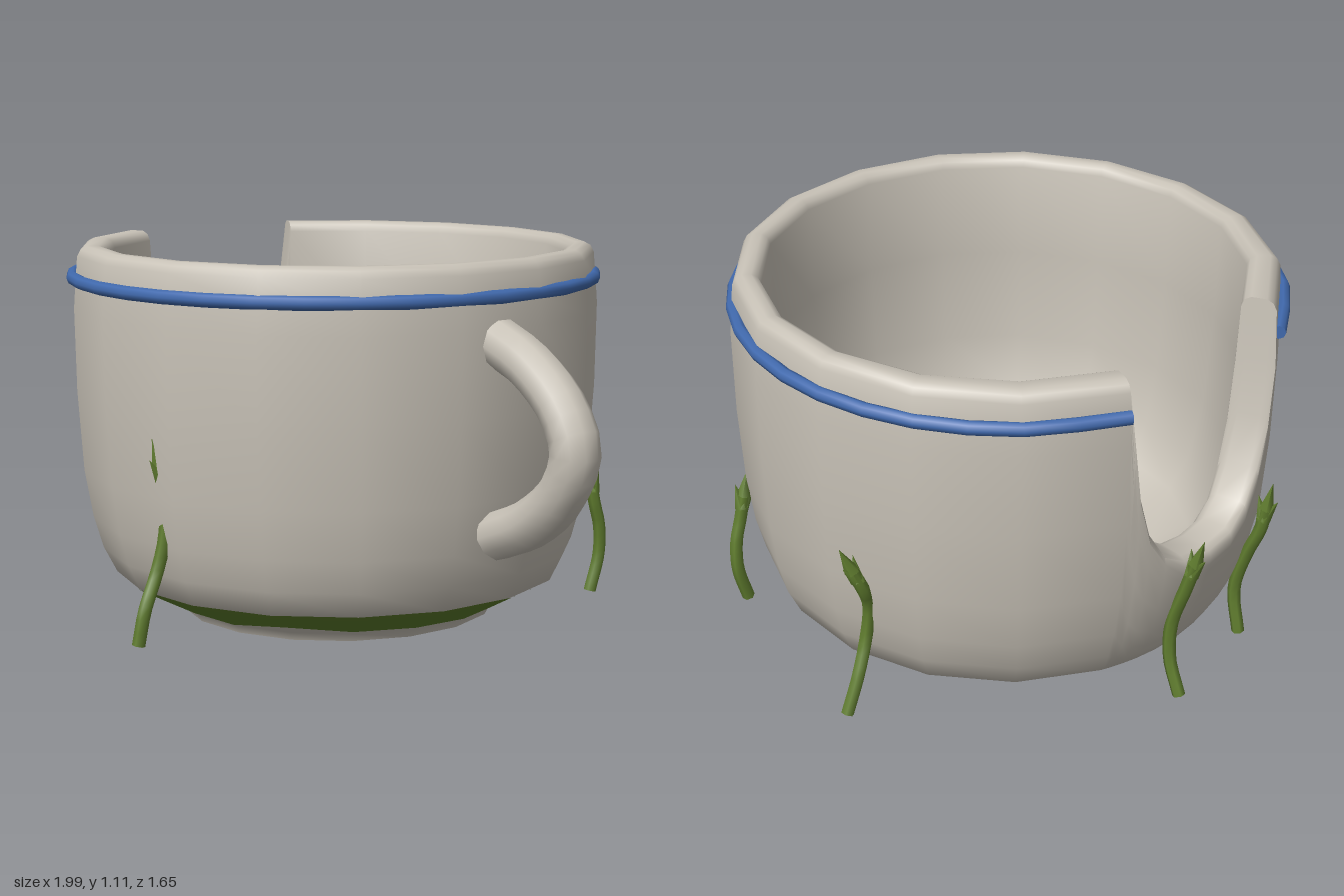
import * as THREE from 'three';
import { toCreasedNormals, mergeVertices } from 'three/addons/utils/BufferGeometryUtils.js';

const CX = -0.14;      // cup axis
const RIM = 1.115;     // rim height
const NOTCH = 0.405;   // half angle of the broken gap, measured from -x

const mat = (name, color) => {
  const m = new THREE.MeshStandardMaterial({ color });
  m.name = name;
  return m;
};

function add(group, name, geometry, material) {
  const mesh = new THREE.Mesh(geometry, material);
  mesh.name = name;
  group.add(mesh);
  return mesh;
}

// Linear interpolation in a table of [key, value] pairs
function lerpTable(table, k) {
  for (let i = 1; i < table.length; i++) {
    const [k0, v0] = table[i - 1], [k1, v1] = table[i];
    if (k <= k1) return v0 + (v1 - v0) * Math.max(0, (k - k0) / (k1 - k0));
  }
  return table[table.length - 1][1];
}

const outerTable = [[0.03, 0.49], [0.13, 0.68], [0.2, 0.715], [0.3, 0.742], [0.45, 0.764],
  [0.7, 0.78], [0.95, 0.783], [1.02, 0.776], [1.115, 0.768]];
const innerTable = [[0.12, 0.3], [0.15, 0.46], [0.2, 0.56], [0.3, 0.625], [0.5, 0.665],
  [0.8, 0.685], [1.115, 0.69]];
const notchTable = [[0, 0.485], [0.13, 0.495], [0.23, 0.54], [0.305, 0.63], [0.355, 0.77], [0.385, 0.95], [NOTCH, RIM]];
const innerR = (y) => lerpTable(innerTable, y);
// The wall bulges a little around the gap
const bulge = (a) => 0.02 * Math.max(0, Math.cos(a));
const outerR = (y, a) => lerpTable(outerTable, y) + bulge(a) * Math.min(1, Math.max(0, (y - 0.13) / 0.3));

// Column angles: dense in the notch, sixteen-odd facets elsewhere
function columnAngles() {
  const half = notchTable.map((p) => p[0]);
  const list = [...half.slice(1).reverse().map((a) => -a), ...half];
  const steps = 15, span = 2 * Math.PI - 2 * NOTCH;
  for (let i = 1; i < steps; i++) list.push(NOTCH + (span * i) / steps);
  return list;
}

// Surface around the cup axis; rows(angle) gives [radius, y] points
function around(angles, rows) {
  const pos = [], idx = [];
  let n = 0;
  for (const a of angles) {
    const pts = rows(a);
    n = pts.length;
    for (const [r, y] of pts) pos.push(CX - r * Math.cos(a), y, r * Math.sin(a));
  }
  for (let j = 0; j < angles.length; j++) {
    const k = (j + 1) % angles.length;
    for (let i = 0; i < n - 1; i++) {
      const a = j * n + i, b = k * n + i;
      idx.push(a, b, a + 1, b, b + 1, a + 1);
    }
  }
  const g = new THREE.BufferGeometry();
  g.setAttribute('position', new THREE.Float32BufferAttribute(pos, 3));
  g.setIndex(idx);
  return toCreasedNormals(g, 0.85);
}

// Full cup section: underside, foot, outer wall, rounded lip, inner wall, floor
function cupRows(a) {
  const h = Math.abs(a) <= NOTCH ? lerpTable(notchTable, Math.abs(a)) : RIM;
  const top = h - 0.03;
  const rows = [[0, 0.06], [0.38, 0.04], [0.465, 0.006], [0.478, 0.006], [0.49, 0.03]];
  for (const t of [0, 0.08, 0.18, 0.33, 0.58, 0.84, 0.92, 1]) {
    const y = 0.13 + (top - 0.13) * t;
    rows.push([outerR(y, a), y]);
  }
  rows.push([outerR(h, a) - 0.008, h - 0.01], [outerR(h, a) - 0.026, h]);
  rows.push([innerR(h) + 0.026, h], [innerR(h) + 0.008, h - 0.01]);
  for (const t of [1, 0.7, 0.4, 0.2, 0.09, 0.03, 0]) {
    const y = 0.12 + (top - 0.12) * t;
    rows.push([innerR(y), y]);
  }
  rows.push([0, 0.115]);
  return rows;
}

// Round tube along a path, closed with flat ends
function cappedTube(group, name, points, radius, segments, sides, material) {
  const pts = points.map((p) => new THREE.Vector3(...p));
  const curve = new THREE.CatmullRomCurve3(pts);
  add(group, name, new THREE.TubeGeometry(curve, segments, radius, sides, false), material);
  for (const t of [0, 1]) {
    const p = curve.getPointAt(t);
    const cap = add(group, name + 'End', new THREE.CircleGeometry(radius, sides), material);
    cap.position.copy(p);
    cap.lookAt(p.clone().addScaledVector(curve.getTangentAt(t), t ? 1 : -1));
  }
}

export function createModel() {
  const ceramic = mat('ceramic', 0xc8c2b7);
  const blue = mat('blue glaze', 0x416aae);
  const moss = mat('moss', 0x5e7e2c);
  const weed = mat('weed green', 0x627f30);
  const teal = mat('teal', 0x66dcb0);
  const model = new THREE.Group();
  model.name = 'brokenCup';

  const angles = columnAngles();
  add(model, 'cupBody', around(angles, cupRows), ceramic);

  // Moss coat on the sloped base, with bare patches along its lower edge
  add(model, 'mossBand', around(angles, (a) => {
    const bare = (a > 1.9 && a < 2.4) || (a > 3.7 && a < 4.2);
    const low = 0.04 + (bare ? 0.025 : 0.006 * Math.sin(3 * a));
    return [low, 0.09, 0.132].map((y) => [outerR(y, a) + 0.005, y]);
  }), moss);

  // Raised stripe below the rim, open at the gap
  const ringPts = [];
  for (let i = 0; i <= 15; i++) {
    const a = NOTCH + ((2 * Math.PI - 2 * NOTCH) * i) / 15;
    const r = 0.783 + 0.018 * Math.cos(a);
    ringPts.push([CX - r * Math.cos(a), 1.02, r * Math.sin(a)]);
  }
  cappedTube(model, 'rimStripe', ringPts, 0.02, 30, 8, blue);

  const handle = [[0.61, 0.895, 0], [0.75, 0.84, 0], [0.88, 0.74, 0], [0.932, 0.63, 0],
    [0.88, 0.51, 0], [0.76, 0.41, 0], [0.61, 0.345, 0]];
  cappedTube(model, 'handle', handle, 0.07, 18, 10, ceramic);

  // Weed stems that dip into the wall and come out again at the leaf tips
  const stems = [
    [[0.015, 0.03, 0.81], [0.02, 0.13, 0.79], [0.005, 0.23, 0.74], [0.01, 0.33, 0.715], [0.01, 0.45, 0.71], [0.01, 0.53, 0.73]],
    [[-0.30, 0.035, -0.81], [-0.30, 0.14, -0.765], [-0.29, 0.25, -0.72], [-0.30, 0.36, -0.715], [-0.31, 0.43, -0.745], [-0.30, 0.5, -0.775]],
    [[0.33, 0.035, -0.62], [0.335, 0.15, -0.65], [0.34, 0.24, -0.645], [0.34, 0.31, -0.625], [0.335, 0.39, -0.61]],
    [[-0.925, 0.04, -0.11], [-0.885, 0.15, -0.11], [-0.885, 0.27, -0.11], [-0.925, 0.4, -0.11], [-0.955, 0.5, -0.11]],
    [[-0.86, 0.04, 0.25], [-0.835, 0.18, 0.25], [-0.87, 0.32, 0.25], [-0.91, 0.42, 0.25], [-0.925, 0.5, 0.25]],
  ];
  for (const pts of stems) {
    const stem = new THREE.Group();
    stem.name = 'weedStem';
    model.add(stem);
    cappedTube(stem, 'stalk', pts, 0.019, 14, 6, weed);
    const n = pts.length;
    const tip = new THREE.Vector3(...pts[n - 1]);
    const dir = tip.clone().sub(new THREE.Vector3(...pts[n - 2])).normalize();
    const out = new THREE.Vector3(tip.x - CX, 0, tip.z).normalize();
    const leaf = (at, d, len) => {
      const cone = add(stem, 'leafTip', new THREE.ConeGeometry(0.022, len, 5), weed);
      cone.quaternion.setFromUnitVectors(new THREE.Vector3(0, 1, 0), d);
      cone.position.copy(at).addScaledVector(d, len / 2);
    };
    leaf(tip, dir, 0.09);
    for (const s of [-1, 1]) {
      const d = dir.clone().addScaledVector(out, 0.4 * s).normalize();
      leaf(tip.clone().addScaledVector(dir, -0.04), d, 0.08);
    }
  }

  // Rounded pebbles on the cup floor: x, z, radius
  const pebbles = [[-0.38, -0.46, 0.045], [-0.22, -0.38, 0.058], [-0.40, -0.235, 0.054], [-0.67, -0.09, 0.055],
    [-0.605, -0.105, 0.042], [-0.47, -0.05, 0.055], [-0.32, -0.02, 0.042], [-0.305, 0.01, 0.044], [-0.54, 0.155, 0.057],
    [-0.31, 0.155, 0.058], [-0.185, 0.185, 0.04], [0.12, 0.075, 0.043], [0.23, 0.15, 0.06],
    [-0.31, 0.385, 0.045], [-0.025, 0.365, 0.054], [-0.145, 0.52, 0.035]];
  const floorTable = [[0, 0.12], [0.3, 0.12], [0.46, 0.15], [0.5, 0.17], [0.56, 0.17]];
  const bare = new THREE.IcosahedronGeometry(1, 0);
  bare.deleteAttribute('normal');
  bare.deleteAttribute('uv');
  const pebble = mergeVertices(bare);
  pebble.computeVertexNormals();
  pebbles.forEach(([x, z, r], i) => {
    const p = add(model, 'pebble', pebble, teal);
    p.position.set(x, lerpTable(floorTable, Math.hypot(x - CX, z)) + r * 0.5, z);
    p.rotation.set(0.55, i * 0.9, 0);
    p.scale.setScalar(r);
  });

  return model;
}
